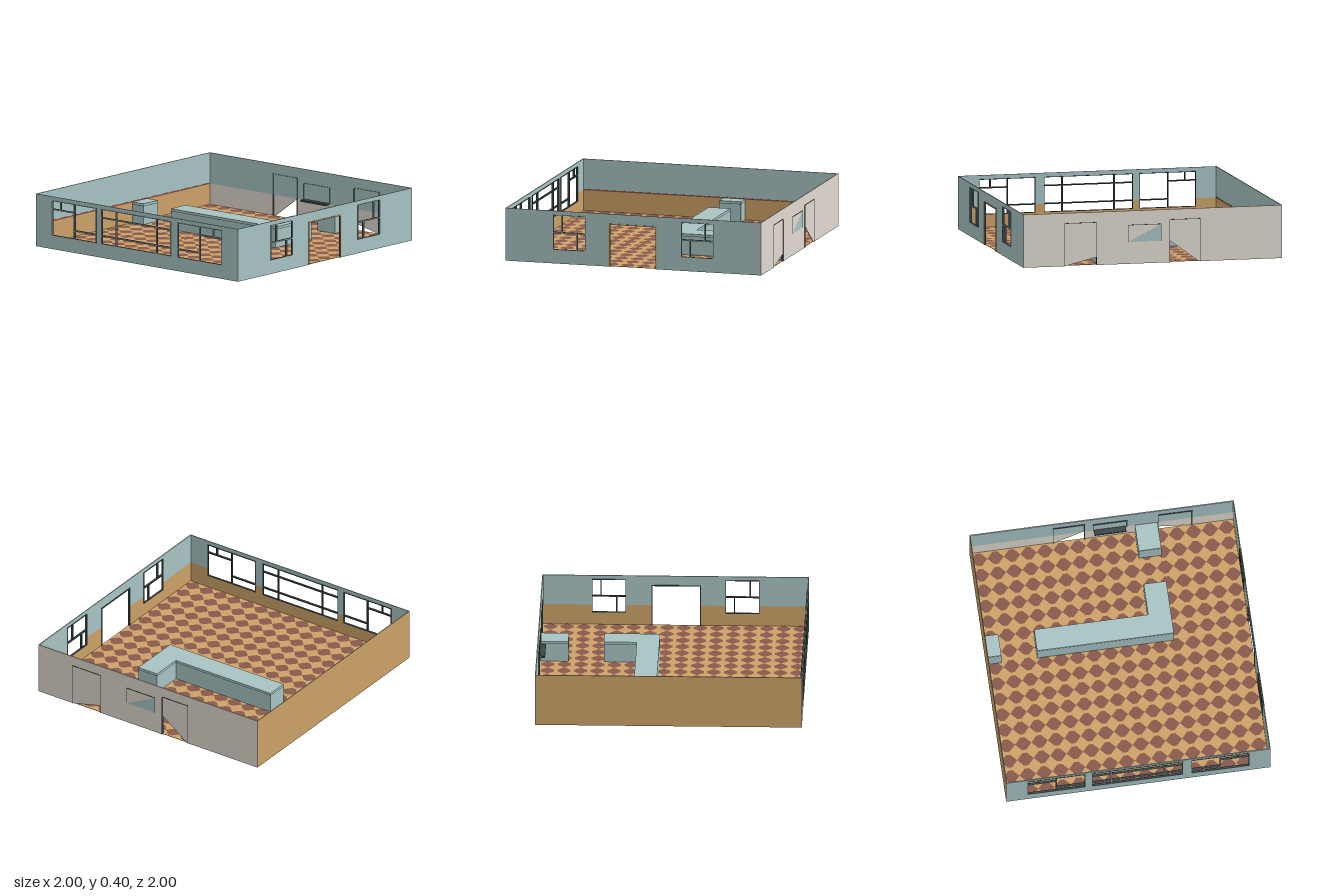
import * as THREE from 'three';
import { mergeGeometries } from 'three/addons/utils/BufferGeometryUtils.js';

const mat = (name, color) => {
  const m = new THREE.MeshStandardMaterial({ color });
  m.name = name;
  return m;
};

const H = 0.4;        // wall height
const DADO = 0.165;   // top of the lower wall band

export function createModel() {
  const teal = mat('teal paint', 0xa8c4c4);
  const tan = mat('tan', 0xcda268);
  const brown = mat('brown tile', 0x885a4c);
  const stripeBrown = mat('reddish stripe', 0x96503a);
  const beige = mat('beige plaster', 0xe0d9cf);
  const dark = mat('dark frame', 0x3c4648);

  const model = new THREE.Group();
  model.name = 'room';

  const add = (parent, name, geo, material) => {
    const mesh = new THREE.Mesh(geo, material);
    mesh.name = name;
    parent.add(mesh);
  };
  // Box given by its limits on each axis
  const span = (x0, x1, y0, y1, z0, z1) =>
    new THREE.BoxGeometry(x1 - x0, y1 - y0, z1 - z0)
      .translate((x0 + x1) / 2, (y0 + y1) / 2, (z0 + z1) / 2);

  // Rectangular panel with rectangular holes [u0, u1, y0, y1], made of cells
  const panel = (u0, u1, y0, y1, z0, z1, holes = []) => {
    const cuts = (lo, hi, k) => [...new Set([lo, hi, ...holes.flatMap(h => [h[k], h[k + 1]])])]
      .filter(v => v >= lo && v <= hi).sort((a, b) => a - b);
    const us = cuts(u0, u1, 0), ys = cuts(y0, y1, 2), cells = [];
    for (let i = 0; i < us.length - 1; i++) {
      for (let j = 0; j < ys.length - 1; j++) {
        const u = (us[i] + us[i + 1]) / 2, y = (ys[j] + ys[j + 1]) / 2;
        if (holes.some(h => u > h[0] && u < h[1] && y > h[2] && y < h[3])) continue;
        cells.push(span(us[i], us[i + 1], ys[j], ys[j + 1], z0, z1));
      }
    }
    return mergeGeometries(cells);
  };

  // Wall in local coordinates: u along it, outside facing +z
  const wall = (name, angle, holes, outer, lower) => {
    const g = new THREE.Group();
    g.name = name;
    g.rotation.y = angle;
    g.position.set(Math.sin(angle) * 0.996, 0, Math.cos(angle) * 0.996);
    add(g, 'outerFace', panel(-0.995, 0.995, 0, H, -0.004, 0, holes), outer);
    add(g, 'upperInside', panel(-0.992, 0.992, DADO, H, -0.007, -0.004, holes), teal);
    add(g, 'lowerInside', panel(-0.992, 0.992, 0, DADO, -0.007, -0.004, holes), lower);
    model.add(g);
    return g;
  };

  // Bars [u0, y0, u1, y1]: dark body with a painted outer face
  const bars = (parent, name, list, half, face) => {
    const layer = (z0, z1) => mergeGeometries(list.map(([u0, y0, u1, y1]) =>
      span(u0 - half, u1 + half, y0 - half, y1 + half, z0, z1)));
    add(parent, name, layer(-0.012, 0.002), dark);
    add(parent, name + 'Face', layer(0.002, 0.004), face);
  };
  const border = ([a, b, c, d]) => [[a, c, b, c], [a, d, b, d], [a, c, a, d], [b, c, b, d]];
  const mirror = list => list.map(([a, b, c, d]) => [-c, b, -a, d]);
  // Glazing: thin rim just inside the opening plus thicker glazing bars
  const glaze = (parent, name, hole, list, flip = l => l) => {
    const [a, b, c, d] = hole, t = 0.002;
    bars(parent, name + 'Rim', flip(border([a + t, b - t, c + t, d - t])), t, teal);
    bars(parent, name + 'Bars', flip(list), 0.0045, teal);
  };

  // Front wall with a wide window between two mirrored ones
  const side = [-0.835, -0.4, 0.103, 0.37], middle = [-0.35, 0.335, 0.103, 0.37];
  const front = wall('frontWall', 0, [side, [0.4, 0.835, 0.103, 0.37], middle], teal, tan);
  const sideBars = [[-0.617, 0.107, -0.617, 0.366], [-0.831, 0.304, -0.617, 0.304],
    [-0.75, 0.304, -0.75, 0.366], [-0.617, 0.168, -0.404, 0.168]];
  glaze(front, 'rightFrontWindow', side, sideBars);
  glaze(front, 'leftFrontWindow', side, sideBars, mirror);
  glaze(front, 'middleWindow', middle, [
    ...[-0.205, 0.195].map(u => [u, 0.107, u, 0.366]),
    ...[0.168, 0.304].map(y => [-0.346, y, 0.331, y])]);

  // Side wall with a doorway and two windows
  const win = [-0.625, -0.372, 0.103, 0.37], door = [-0.19, 0.18, 0, 0.325];
  const left = wall('leftWall', Math.PI / 2, [win, [0.372, 0.625, 0.103, 0.37], door], teal, tan);
  const winBars = [[-0.621, 0.235, -0.376, 0.235],
    [-0.557, 0.235, -0.557, 0.366], [-0.44, 0.107, -0.44, 0.235]];
  glaze(left, 'sideWindowFront', win, winBars);
  glaze(left, 'sideWindowBack', win, winBars, mirror);
  bars(left, 'doorFrame', [[-0.187, 0.004, -0.187, 0.323], [0.177, 0.004, 0.177, 0.323],
    [-0.187, 0.323, 0.177, 0.323]], 0.004, tan);

  // Plain wall with a stripe on the inside
  const right = wall('rightWall', -Math.PI / 2, [], tan, tan);
  add(right, 'stripe', span(-0.985, 0.985, 0.161, 0.171, -0.009, -0.007), stripeBrown);

  // Back wall with two low slanted gaps under its doors
  const back = new THREE.Group();
  back.name = 'backWall';
  back.rotation.y = Math.PI;
  back.position.z = -0.996;
  const points = list => list.map(p => new THREE.Vector2(...p));
  const outline = new THREE.Shape(points([[-0.995, 0], [-0.68, 0], [-0.43, 0.06], [-0.43, 0], [0.13, 0],
    [0.13, 0.165], [0.355, 0], [0.995, 0], [0.995, H], [-0.995, H]]));
  add(back, 'plaster', new THREE.ExtrudeGeometry(outline, { depth: 0.005, bevelEnabled: false })
    .translate(0, 0, -0.005), beige);
  add(back, 'upperInside', span(-0.992, 0.992, DADO, H, -0.008, -0.005), teal);
  const hatch = new THREE.Shape(points([[-0.19, 0.165], [0.065, 0.165], [0.065, 0.29]]));
  add(back, 'hatchPane', new THREE.ShapeGeometry(hatch).translate(0, 0, 0.001), teal);

  // Slim dark trims whose broad faces are painted like the wall beside them
  const trim = (name, u0, u1, y0, y1) => {
    const layer = (z0, z1, lo) => mergeGeometries([
      ...[u0, u1].map(u => span(u - 0.002, u + 0.002, lo, y1, z0, z1)),
      span(u0 - 0.002, u1 + 0.002, y1, y1 + 0.004, z0, z1)]);
    add(back, name, layer(-0.014, 0.003, y0), dark);
    add(back, name + 'InnerFace', layer(-0.015, -0.014, DADO), teal);
    if (y0 < DADO) {
      add(back, name + 'LowerFace', mergeGeometries([u0, u1].map(u =>
        span(u - 0.002, u + 0.002, y0, DADO, -0.015, -0.014))), beige);
    }
  };
  trim('backDoorTrimA', -0.68, -0.43, 0, 0.32);
  trim('backDoorTrimB', 0.13, 0.365, 0, 0.32);
  trim('hatchTrim', -0.19, 0.065, 0.165, 0.29);
  add(back, 'hatchShelf', span(-0.18, 0.06, 0.158, 0.173, -0.05, -0.008), dark);
  model.add(back);

  // Floor: tan slab with rows of brown tiles, larger ones underneath
  add(model, 'floor', span(-0.994, 0.994, 0.003, 0.006, -0.994, 0.994), tan);
  const tiles = (period, y, facing) => {
    const list = [], r = period / 2 * 0.994, n = Math.round(2 / period);
    const tile = new THREE.Shape(points([[1, 0], [0.27, 0.8], [-0.27, 0.8], [-1, 0], [-0.27, -0.8], [0.27, -0.8]]
      .map(([a, b]) => [a * r, b * r])));
    for (let i = 0; i < n; i++) {
      for (let j = 0; j < n; j++) {
        list.push(new THREE.ShapeGeometry(tile).rotateX(-facing * Math.PI / 2)
          .translate((2 * i + 1 - n) * r, y, (2 * j + 1 - n) * r));
      }
    }
    return mergeGeometries(list);
  };
  add(model, 'floorTiles', tiles(0.125, 0.0075, 1), brown);
  add(model, 'undersideTiles', tiles(0.5, 0.0015, -1), brown);

  // Counters: body, shadow gap and worktop following one footprint
  const counter = (name, pts) => {
    const g = new THREE.Group();
    g.name = name;
    const shape = new THREE.Shape(points(pts.map(([x, z]) => [x, -z])));
    const slab = (y0, y1) => new THREE.ExtrudeGeometry(shape, { depth: y1 - y0, bevelEnabled: false })
      .rotateX(-Math.PI / 2).translate(0, y0, 0);
    add(g, 'body', slab(0, 0.145), teal);
    add(g, 'gap', slab(0.145, 0.149), dark);
    add(g, 'worktop', slab(0.149, 0.165), teal);
    model.add(g);
  };
  const rect = (x0, x1, z0, z1) => [[x0, z0], [x0, z1], [x1, z1], [x1, z0]];
  counter('mainCounter', [[-0.61, -0.27], [-0.61, -0.1], [0.42, -0.1], [0.42, -0.515], [0.25, -0.515], [0.25, -0.27]]);
  counter('backCounter', rect(0.25, 0.42, -0.987, -0.78));
  counter('wallCounter', rect(-0.987, -0.88, -0.27, -0.1));

  return model;
}
